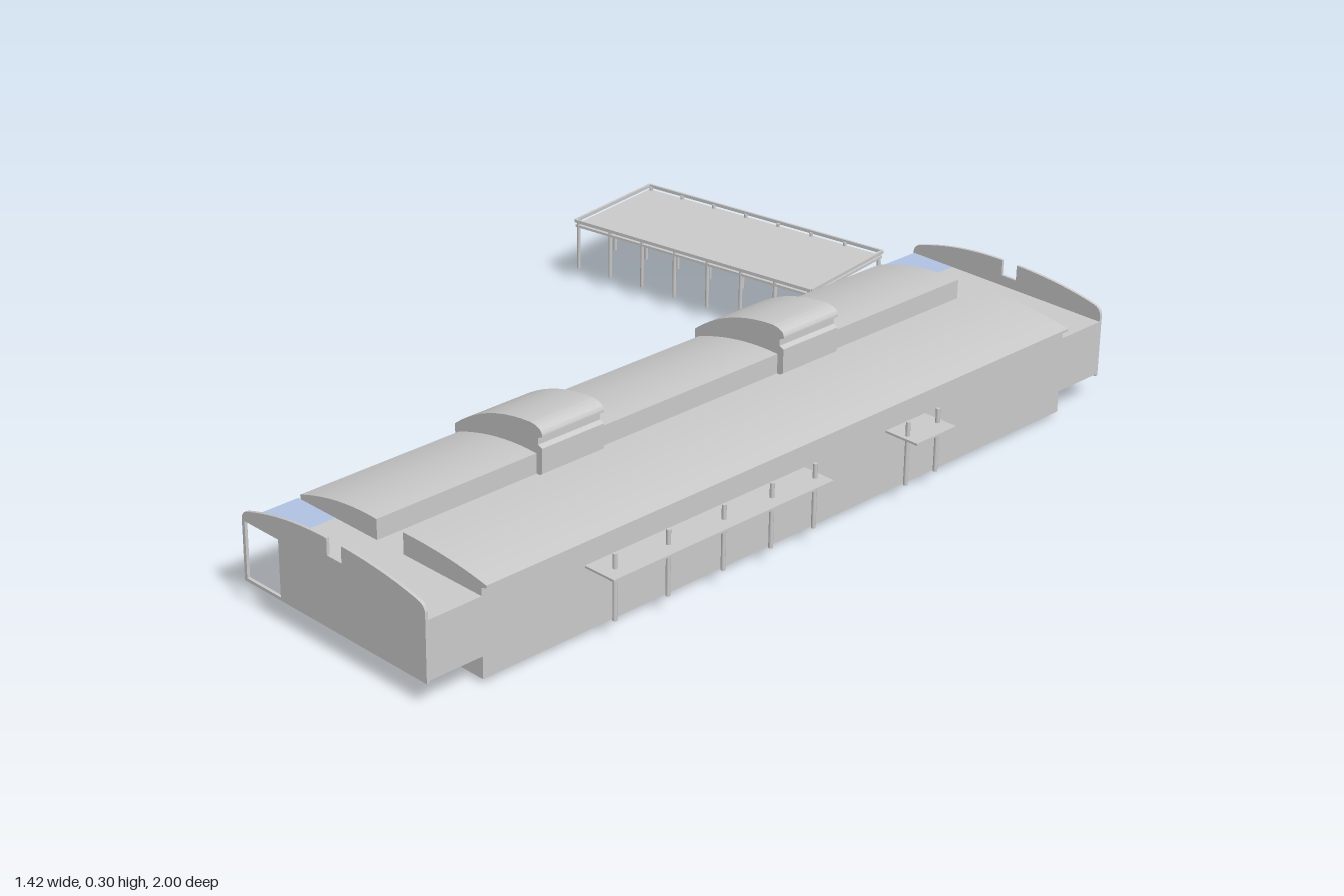
import * as THREE from 'three';
import { toCreasedNormals } from 'three/addons/utils/BufferGeometryUtils.js';

const grey = new THREE.MeshStandardMaterial({ color: 0xcccccc, side: THREE.DoubleSide });
const blue = new THREE.MeshStandardMaterial({ color: 0xb0c4e4, side: THREE.DoubleSide });

function add(parent, name, geometry, material = grey) {
  const mesh = new THREE.Mesh(geometry, material);
  mesh.name = name;
  parent.add(mesh);
  return mesh;
}

// box given by its lower and upper limits
function box(parent, name, [x0, x1], [y0, y1], [z0, z1], material) {
  const g = new THREE.BoxGeometry(x1 - x0, y1 - y0, z1 - z0);
  g.translate((x0 + x1) / 2, (y0 + y1) / 2, (z0 + z1) / 2);
  return add(parent, name, g, material);
}

// xy profile drawn out between two z positions
function prism(parent, name, shape, z0, z1) {
  const g = new THREE.ExtrudeGeometry(shape, { depth: z1 - z0, bevelEnabled: false, curveSegments: 10 });
  g.translate(0, 0, z0);
  return add(parent, name, toCreasedNormals(g, 0.5));
}

function post(parent, name, x, z, y0, y1, r) {
  const g = new THREE.CylinderGeometry(r, r, y1 - y0, 8);
  g.translate(x, (y0 + y1) / 2, z);
  return add(parent, name, g);
}

// arched end wall with a notch in the top and an open corner
function endWallShape() {
  const s = new THREE.Shape();
  s.moveTo(0.065, 0.055);
  s.lineTo(0.62, 0.055);
  s.lineTo(0.62, 0.205);
  s.quadraticCurveTo(0.62, 0.222, 0.6, 0.227);
  s.quadraticCurveTo(0.5, 0.25, 0.376, 0.252);
  s.lineTo(0.376, 0.215);
  s.lineTo(0.332, 0.215);
  s.lineTo(0.332, 0.252);
  s.quadraticCurveTo(0.2, 0.252, 0.085, 0.215);
  s.quadraticCurveTo(0.065, 0.21, 0.065, 0.19);
  s.closePath();
  const hole = new THREE.Path();
  hole.moveTo(0.073, 0.062);
  hole.lineTo(0.073, 0.19);
  hole.lineTo(0.18, 0.19);
  hole.lineTo(0.18, 0.062);
  hole.closePath();
  s.holes.push(hole);
  return s;
}

function leftRoofShape() {
  const s = new THREE.Shape();
  s.moveTo(0.074, 0.186);
  s.lineTo(0.313, 0.186);
  s.lineTo(0.313, 0.236);
  s.quadraticCurveTo(0.19, 0.242, 0.074, 0.2);
  s.closePath();
  return s;
}

function rightRoofShape() {
  const s = new THREE.Shape();
  s.moveTo(0.393, 0.186);
  s.lineTo(0.62, 0.186);
  s.lineTo(0.62, 0.208);
  s.lineTo(0.634, 0.212);
  s.lineTo(0.634, 0.218);
  s.quadraticCurveTo(0.52, 0.24, 0.393, 0.238);
  s.closePath();
  return s;
}

// raised roof lantern with a curled lip on the inner side
function lanternShape() {
  const s = new THREE.Shape();
  s.moveTo(0.062, 0.19);
  s.lineTo(0.33, 0.19);
  s.lineTo(0.33, 0.252);
  s.lineTo(0.318, 0.257);
  s.lineTo(0.318, 0.272);
  s.lineTo(0.33, 0.278);
  s.quadraticCurveTo(0.332, 0.298, 0.295, 0.3);
  s.quadraticCurveTo(0.16, 0.294, 0.062, 0.215);
  s.closePath();
  return s;
}

function createHall() {
  const hall = new THREE.Group();
  hall.name = 'hall';
  box(hall, 'mainBody', [0.17, 0.62], [0.01, 0.188], [-0.86, 0.86]);
  box(hall, 'flatRoof', [0.075, 0.62], [0.184, 0.19], [-0.86, 0.86]);
  prism(hall, 'leftRoof', leftRoofShape(), -0.86, 0.86);
  prism(hall, 'rightRoof', rightRoofShape(), -0.86, 0.86);

  // overhanging ends with a glazed corner roof
  for (const s of [-1, 1]) {
    const range = (a, b) => (s > 0 ? [a, b] : [-b, -a]);
    box(hall, 'endBody', [0.185, 0.62], [0.06, 0.19], range(0.86, 0.992));
    box(hall, 'cornerGlass', [0.067, 0.185], [0.186, 0.19], range(0.86, 0.992), blue);
    prism(hall, 'endWall', endWallShape(), ...range(0.992, 0.999));
  }

  // lanterns above the two entrance bays
  for (const z of [-0.35, 0.355]) {
    prism(hall, 'roofLantern', lanternShape(), z - 0.086, z + 0.086);
    box(hall, 'entranceBay', [0.135, 0.19], [0, 0.186], [z - 0.083, z + 0.083]);
  }

  // pillars under the left overhang
  for (let i = 0; i < 8; i++) {
    const z = -0.72 + i * 1.44 / 7;
    box(hall, 'pillar', [0.085, 0.122], [0.01, 0.186], [z - 0.014, z + 0.014]);
  }

  // small canopies hung on masts along the right wall
  const canopies = [
    { z: [-0.4, -0.275], x: 0.707, masts: [-0.385, -0.29] },
    { z: [-0.025, 0.595], x: 0.702, masts: [-0.005, 0.122, 0.26, 0.415, 0.56] },
  ];
  for (const c of canopies) {
    box(hall, 'sideCanopy', [0.62, c.x], [0.152, 0.157], c.z);
    for (const z of c.masts) post(hall, 'canopyMast', 0.668, z, 0.042, 0.19, 0.005);
  }
  // slight turn of the whole hall about its centre
  hall.rotation.y = -0.005;
  return hall;
}

function createPavilion() {
  const pavilion = new THREE.Group();
  pavilion.name = 'pavilion';
  const w = 0.349, d = 0.15;
  box(pavilion, 'pavilionRoof', [-w, w], [0.15, 0.156], [-d, d]);
  // rim rails above the roof edge
  for (const s of [-1, 1]) {
    box(pavilion, 'longRim', [-w, w], [0.162, 0.17], [s * d - 0.003, s * d + 0.003]);
    box(pavilion, 'shortRim', [s * w - 0.003, s * w + 0.003], [0.162, 0.17], [-d, d]);
  }
  // three rows of eight posts
  for (let i = 0; i < 8; i++) {
    for (const r of [-1, 0, 1]) {
      const x = -0.342 + i * 0.684 / 7;
      post(pavilion, 'pavilionPost', x, r * 0.146, 0.042, r ? 0.165 : 0.152, 0.0045);
    }
  }
  pavilion.position.set(-0.346, 0, -0.788);
  pavilion.rotation.y = 0.143;
  return pavilion;
}

export function createModel() {
  const model = new THREE.Group();
  model.name = 'stationBuilding';
  model.add(createHall(), createPavilion());
  return model;
}
